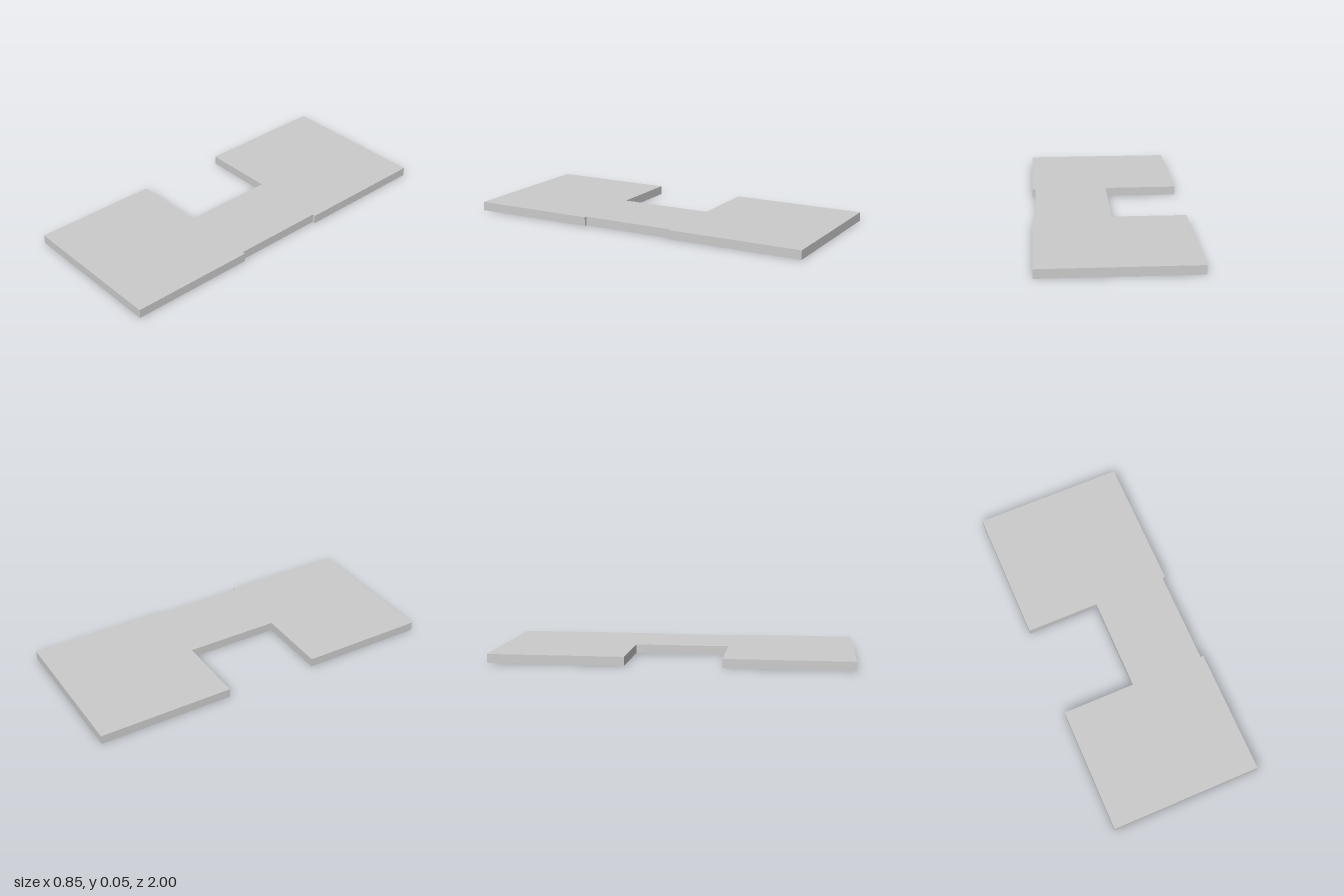
import * as THREE from 'three';

const HALF_WIDTH = 0.427;
const HALF_LENGTH = 1;
const THICKNESS = 0.05;
const NOTCH_BACK = -0.24; // z range shared by both side notches
const NOTCH_FRONT = 0.292;
const DEEP_X = -0.01; // inner edge of the deep notch
const SHALLOW_X = 0.41; // inner edge of the shallow notch

export function createModel() {
  const group = new THREE.Group();
  group.name = 'notchedSlab';

  // Plan outline as x, z corners
  const outline = [
    [-HALF_WIDTH, HALF_LENGTH], [HALF_WIDTH, HALF_LENGTH],
    [HALF_WIDTH, NOTCH_FRONT], [SHALLOW_X, NOTCH_FRONT],
    [SHALLOW_X, NOTCH_BACK], [HALF_WIDTH, NOTCH_BACK],
    [HALF_WIDTH, -HALF_LENGTH], [-HALF_WIDTH, -HALF_LENGTH],
    [-HALF_WIDTH, NOTCH_BACK], [DEEP_X, NOTCH_BACK],
    [DEEP_X, NOTCH_FRONT], [-HALF_WIDTH, NOTCH_FRONT],
  ];
  const shape = new THREE.Shape(outline.map(([x, z]) => new THREE.Vector2(x, -z)));

  // Extrude upward from the ground
  const geometry = new THREE.ExtrudeGeometry(shape, { depth: THICKNESS, bevelEnabled: false });
  geometry.rotateX(-Math.PI / 2);

  const slab = new THREE.Mesh(geometry, new THREE.MeshStandardMaterial({ color: 0xcccccc }));
  slab.name = 'slab';
  group.add(slab);
  return group;
}
